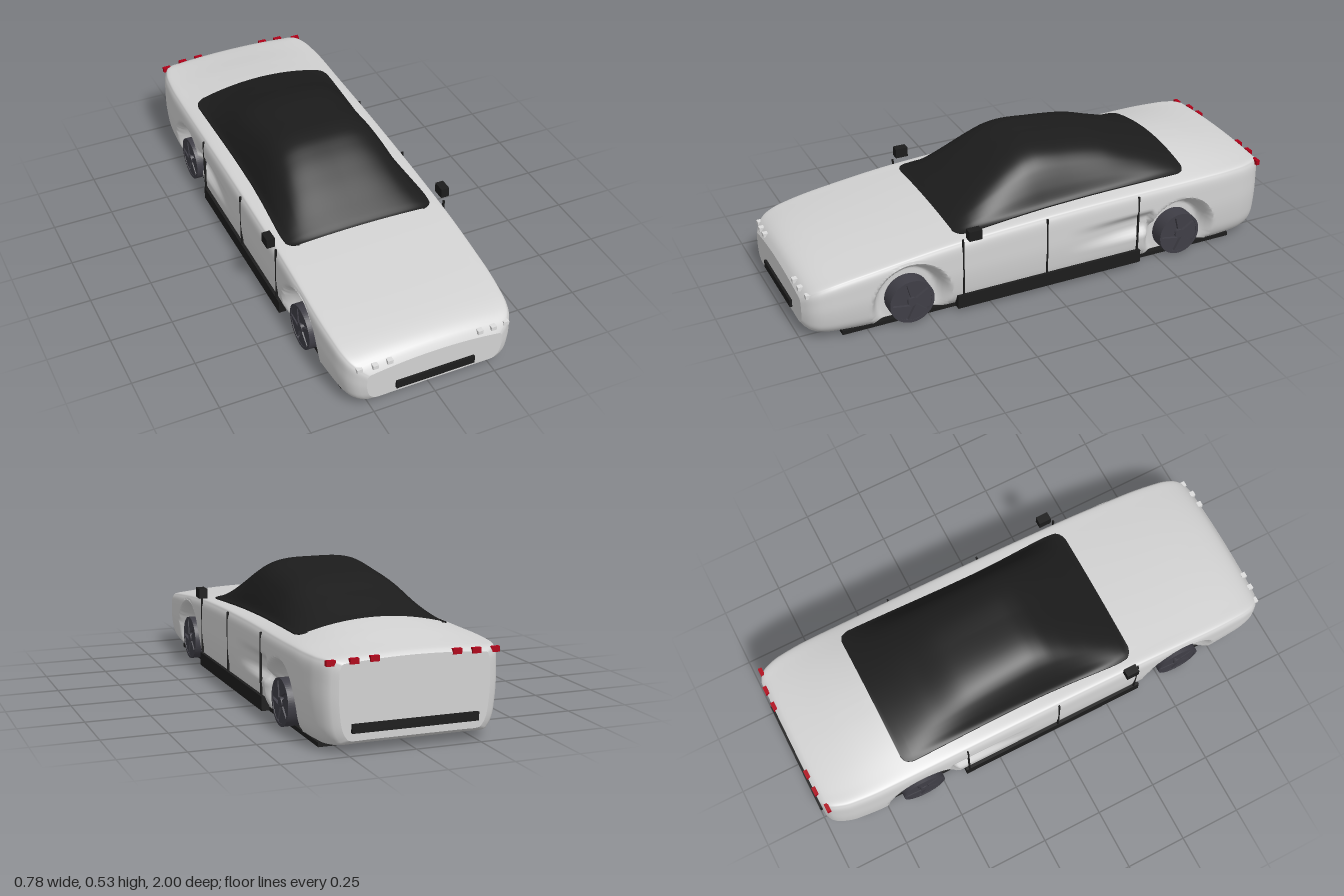
import * as THREE from 'three';

const mat = (name, color) => {
  const m = new THREE.MeshStandardMaterial({ color });
  m.name = name;
  return m;
};

// Smooth interpolation through rows of [z, v1, v2, ...], sorted by rising z
function sample(keys, z) {
  let i = 0;
  while (i < keys.length - 2 && z > keys[i + 1][0]) i++;
  const a = keys[i], b = keys[i + 1], p = keys[Math.max(i - 1, 0)], n = keys[Math.min(i + 2, keys.length - 1)];
  const d = b[0] - a[0], t = THREE.MathUtils.clamp((z - a[0]) / d, 0, 1);
  return a.slice(1).map((v, k) => {
    const w = b[k + 1], m = (w - v) / d;
    const slope = (s) => (s * m <= 0 ? 0 : (2 * s * m) / (s + m));
    const m0 = a === p ? m : slope((v - p[k + 1]) / (a[0] - p[0]));
    const m1 = b === n ? m : slope((n[k + 1] - w) / (n[0] - b[0]));
    const t2 = t * t, t3 = t2 * t;
    return (2 * t3 - 3 * t2 + 1) * v + (t3 - 2 * t2 + t) * d * m0 + (3 * t2 - 2 * t3) * w + (t3 - t2) * d * m1;
  });
}

// Skin over closed rings of equal point count
function loft(rings) {
  const n = rings[0].length, pos = [], idx = [];
  rings.forEach((r) => r.forEach((p) => pos.push(p.x, p.y, p.z)));
  for (let i = 0; i < rings.length - 1; i++) {
    for (let j = 0; j < n; j++) {
      const k = (j + 1) % n, a = i * n + j, b = i * n + k, c = b + n, d = a + n;
      idx.push(a, b, c, a, c, d);
    }
  }
  const g = new THREE.BufferGeometry();
  g.setAttribute('position', new THREE.Float32BufferAttribute(pos, 3));
  g.setIndex(idx);
  g.computeVertexNormals();
  return g;
}

// Full ring from the +x half, which runs from bottom centre to top centre
const mirrorRing = (half, z) => [
  ...half.map((p) => new THREE.Vector3(p.x, p.y, z)),
  ...half.slice(1, -1).reverse().map((p) => new THREE.Vector3(-p.x, p.y, z)),
];

// Body stations: z, half width, bottom, shoulder height, crown height
const BODY = [
  [-0.988, 0.285, 0.05, 0.322, 0.335], [-0.975, 0.31, 0.038, 0.332, 0.346], [-0.94, 0.333, 0.028, 0.337, 0.353],
  [-0.88, 0.35, 0.022, 0.337, 0.362], [-0.75, 0.36, 0.02, 0.337, 0.382], [-0.6, 0.361, 0.02, 0.335, 0.396],
  [-0.3, 0.362, 0.02, 0.333, 0.37], [0, 0.362, 0.02, 0.326, 0.343], [0.37, 0.362, 0.02, 0.308, 0.322],
  [0.7, 0.36, 0.02, 0.272, 0.289], [0.87, 0.35, 0.025, 0.245, 0.265], [0.93, 0.337, 0.03, 0.228, 0.25],
  [0.97, 0.31, 0.042, 0.205, 0.228], [0.99, 0.275, 0.06, 0.178, 0.198],
];
const WHEEL_Z = [-0.59, 0.58], WHEEL_Y = 0.1, ARCH = 0.165;
const deckY = (u, s, c) => s + (c - s) * (1 - (u / 0.94) ** 2);

// Press wheel arches and the side scoops into the flank
function sculpt(p) {
  const side = Math.sign(p.x), ax = Math.abs(p.x);
  if (ax < 0.25 || p.y > 0.3) return p;
  for (const wz of WHEEL_Z) {
    const dy = p.y - WHEEL_Y, dz = p.z - wz, d = Math.hypot(dy, dz);
    if (Math.abs(d - ARCH) < 0.007) {
      p.y = WHEEL_Y + (dy * ARCH) / d;
      p.z = wz + (dz * ARCH) / d;
    } else if (d < ARCH) {
      const k = 1 - THREE.MathUtils.smoothstep(d, 0.115, ARCH);
      p.x = side * THREE.MathUtils.lerp(ax, Math.min(ax, 0.29), k);
    }
  }
  if (p.z < -0.05 && p.z > -0.46) {
    const along = THREE.MathUtils.smoothstep(-p.z, 0.05, 0.42);
    const across = 1 - THREE.MathUtils.smoothstep(Math.abs(p.y - 0.19), 0.015, 0.06);
    p.x -= side * 0.03 * along * across;
  }
  return p;
}

function bodyRing(z) {
  const [w, b, s, c] = sample(BODY, z), h = s - b;
  const pts = [[0, b], [0.6, b], [0.84, b], [0.91, b + 0.05 * h], [0.96, b + 0.16 * h], [0.985, b + 0.32 * h],
    [1, b + 0.52 * h], [1, b + 0.72 * h], [0.995, b + 0.88 * h], [0.975, b + 0.96 * h]];
  for (const u of [0.94, 0.8, 0.6, 0.4, 0.2, 0]) pts.push([u, deckY(u, s, c)]);
  const curve = new THREE.SplineCurve(pts.map(([x, y]) => new THREE.Vector2(x * w, y)));
  return mirrorRing(curve.getPoints(90), z).map(sculpt);
}

// Canopy stations: z, half width, roof height
const CANOPY = [
  [-0.635, 0.265, 0.397], [-0.625, 0.29, 0.4], [-0.59, 0.302, 0.411], [-0.45, 0.3, 0.457], [-0.3, 0.297, 0.502],
  [-0.15, 0.295, 0.52], [-0.03, 0.295, 0.53], [0.03, 0.297, 0.522], [0.1, 0.3, 0.494], [0.2, 0.306, 0.437],
  [0.3, 0.311, 0.373], [0.345, 0.308, 0.344], [0.368, 0.29, 0.329], [0.377, 0.265, 0.324],
];
const CANOPY_PROFILE = [[1, 0], [0.955, 0.08], [0.89, 0.32], [0.81, 0.56], [0.73, 0.74], [0.62, 0.88], [0.47, 0.965], [0.28, 1], [0, 1]];

function canopyRing(z) {
  const [w, top] = sample(CANOPY, z), [bw, , s, c] = sample(BODY, z);
  const profile = new THREE.SplineCurve(CANOPY_PROFILE.map(([x, y]) => new THREE.Vector2(x, y))).getPoints(40);
  const half = profile.map((p) => new THREE.Vector2(p.x * w, deckY((p.x * w) / bw, s, c) + 0.004 + p.y * Math.max(top - c - 0.004, 0)));
  const edge = half[0];
  half.unshift(new THREE.Vector2(0, edge.y - 0.012), new THREE.Vector2(edge.x, edge.y - 0.012));
  return mirrorRing(half, z);
}

const steps = (z0, z1, n) => Array.from({ length: n + 1 }, (_, i) => z0 + ((z1 - z0) * i) / n);

export function createModel() {
  const silver = mat('silver paint', 0xd2d2d2), black = mat('black trim', 0x1c1c1c), grey = mat('wheel grey', 0x3f3e46);
  const red = mat('red lamp', 0xb00018), clear = mat('clear lamp', 0xdcdcdc);
  const model = new THREE.Group();
  const add = (name, geo, m, x = 0, y = 0, z = 0, parent = model) => {
    const mesh = new THREE.Mesh(geo, m);
    mesh.name = name;
    mesh.position.set(x, y, z);
    parent.add(mesh);
    return mesh;
  };
  const box = (name, m, w, h, d, x, y, z) => add(name, new THREE.BoxGeometry(w, h, d), m, x, y, z);

  // Body shell with flat nose and tail panels
  const rings = steps(-0.988, 0.99, 170).map(bodyRing);
  add('bodyShell', loft(rings), silver);
  const first = rings[0], last = rings[rings.length - 1];
  const centre = (ring, y) => ring.map((p) => new THREE.Vector3(0, y, p.z));
  add('nosePanel', loft([last, centre(last, 0.12)]), silver);
  add('tailPanel', loft([centre(first, 0.19), first]), silver);

  // Dark glass canopy
  const canopyZ = [...steps(-0.635, -0.59, 8), ...steps(-0.57, 0.29, 50), ...steps(0.3, 0.377, 14)];
  add('canopy', loft(canopyZ.map(canopyRing)), black);

  // Floor and bumper strips
  box('floorPan', black, 0.62, 0.016, 1.705, 0, 0.008, -0.005);
  box('frontBumperStrip', black, 0.32, 0.032, 0.02, 0, 0.095, 0.99);
  box('rearBumperStrip', black, 0.48, 0.032, 0.02, 0, 0.095, -0.99);

  // One spoke wedge with slits left between neighbours
  const wedge = new THREE.Shape();
  const half = Math.PI / 5 - 0.07;
  wedge.moveTo(0.02 * Math.cos(half), -0.02 * Math.sin(half));
  wedge.absarc(0, 0, 0.08, -half, half, false);
  wedge.lineTo(0.02 * Math.cos(half), 0.02 * Math.sin(half));
  const spokeGeo = new THREE.ExtrudeGeometry(wedge, { depth: 0.012, bevelEnabled: false, curveSegments: 8 });
  const rimShape = new THREE.Shape().absarc(0, 0, 0.09, 0, Math.PI * 2);
  rimShape.holes.push(new THREE.Path().absarc(0, 0, 0.079, 0, Math.PI * 2, true));
  const rimGeo = new THREE.ExtrudeGeometry(rimShape, { depth: 0.014, bevelEnabled: false, curveSegments: 32 });
  const discGeo = new THREE.CylinderGeometry(0.09, 0.09, 0.05, 40).rotateX(Math.PI / 2);
  const hubGeo = new THREE.CylinderGeometry(0.018, 0.018, 0.014, 20).rotateX(Math.PI / 2);

  for (const side of [-1, 1]) {
    const label = side > 0 ? 'left' : 'right';
    for (const wz of WHEEL_Z) {
      const wheel = new THREE.Group();
      wheel.name = label + (wz > 0 ? 'FrontWheel' : 'RearWheel');
      wheel.position.set(side * 0.342, WHEEL_Y, wz);
      wheel.rotation.y = (side * Math.PI) / 2;
      add('wheelDisc', discGeo, grey, 0, 0, -0.025, wheel);
      add('rim', rimGeo, grey, 0, 0, 0, wheel);
      add('hub', hubGeo, grey, 0, 0, 0.008, wheel);
      for (let i = 0; i < 5; i++) add('spoke', spokeGeo, grey, 0, 0, 0, wheel).rotation.z = (i * Math.PI * 2) / 5;
      model.add(wheel);
    }

    // Sill, door seams and mirror
    box(label + 'Sill', black, 0.03, 0.055, 0.8, side * 0.347, 0.047, -0.005);
    for (const z of [0.37, 0.015, -0.39]) box(label + 'DoorSeam', black, 0.008, 0.24, 0.006, side * 0.359, 0.2, z);
    box(label + 'Mirror', black, 0.034, 0.04, 0.052, side * 0.372, 0.343, 0.33);

    // Lamp clusters
    for (const [x, y, z] of [[0.298, 0.201, 0.968], [0.24, 0.206, 0.978], [0.183, 0.21, 0.98]])
      box(label + 'Headlamp', clear, 0.022, 0.016, 0.02, side * x, y, z);
    for (const [x, y, z] of [[0.31, 0.325, -0.97], [0.23, 0.33, -0.985], [0.155, 0.333, -0.985]])
      box(label + 'TailLamp', red, 0.034, 0.02, 0.016, side * x, y, z);
  }
  return model;
}
